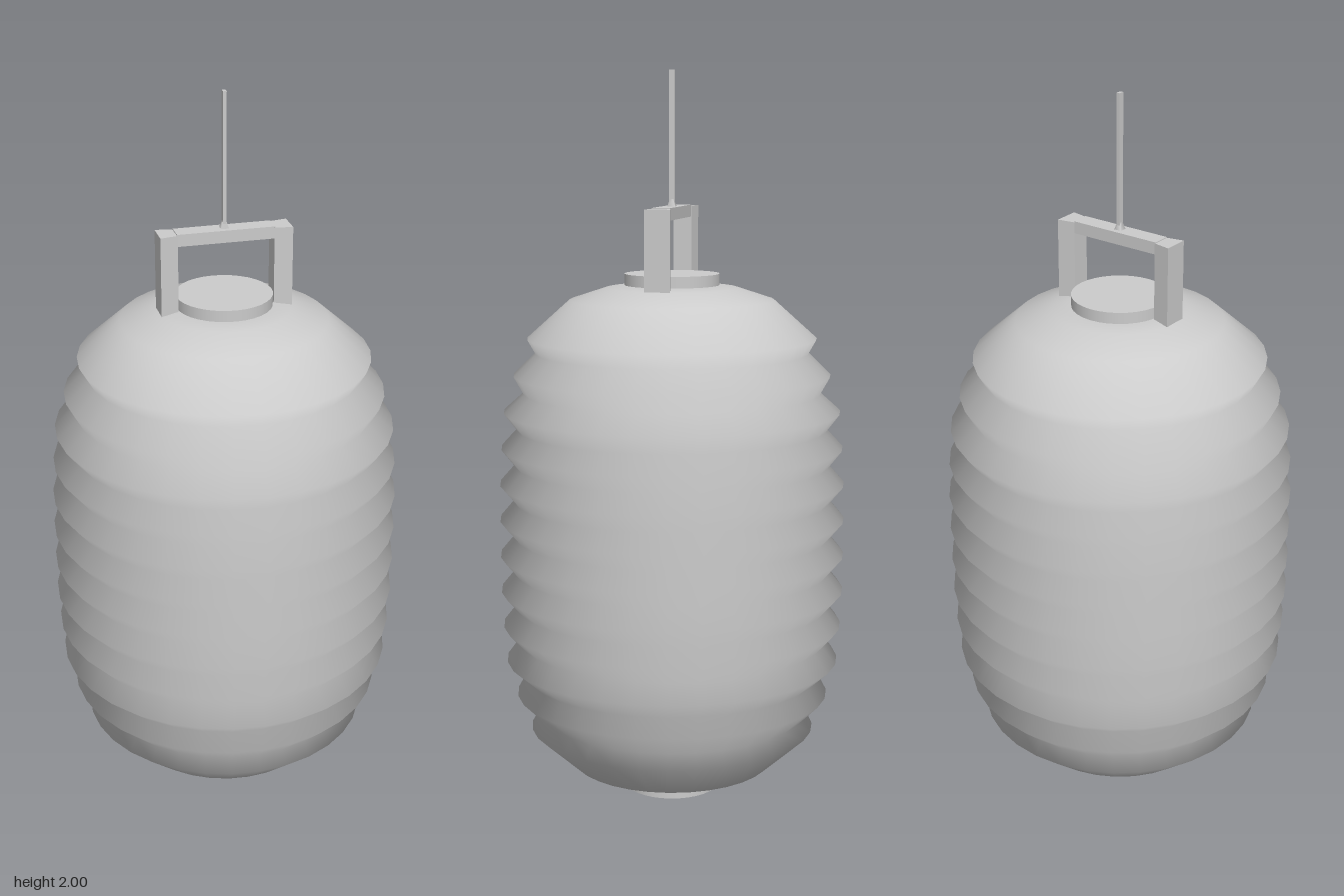
import * as THREE from 'three';

const material = new THREE.MeshStandardMaterial({ color: 0xcccccc });

export function createModel() {
  const model = new THREE.Group();
  const add = (name, geometry, x = 0, y = 0, z = 0) => {
    const mesh = new THREE.Mesh(geometry, material);
    mesh.name = name;
    mesh.position.set(x, y, z);
    model.add(mesh);
    return mesh;
  };

  // Pleated paper body: ridges with a valley between each pair, mirrored about mid height
  const ridges = [0.397, 0.436, 0.464, 0.472, 0.477, 0.478];
  const ridgeRadius = (i) => ridges[Math.min(i, 11 - i)];
  const profile = [[0, 0.035], [0.13, 0.035], [0.18, 0.042], [0.28, 0.075]];
  for (let i = 0; i < 12; i++) {
    const y = 0.18 + i * 0.1;
    profile.push([ridgeRadius(i), y]);
    if (i < 11) {
      const valley = (ridgeRadius(i) + ridgeRadius(i + 1)) / 2 - 0.042;
      // Valleys near the ends sit closer to the end ridge
      const shift = i === 0 ? -0.01 : i === 10 ? 0.01 : 0;
      profile.push([valley, y + 0.05 + shift]);
    }
  }
  profile.push([0.28, 1.385], [0.18, 1.418], [0.13, 1.425], [0, 1.425]);
  add('body', new THREE.LatheGeometry(profile.map(([r, y]) => new THREE.Vector2(r, y)), 32));

  // End caps
  add('topCap', new THREE.CylinderGeometry(0.13, 0.13, 0.04, 32), 0, 1.436);
  add('bottomCap', new THREE.CylinderGeometry(0.13, 0.13, 0.04, 32), 0, 0.02);

  // Handle: two tapered uprights joined by a crossbar
  for (const side of [1, -1]) {
    const section = new THREE.Shape([
      new THREE.Vector2(side * 0.13, -0.026),
      new THREE.Vector2(side * 0.178, -0.035),
      new THREE.Vector2(side * 0.178, 0.035),
      new THREE.Vector2(side * 0.13, 0.026),
    ]);
    const upright = new THREE.ExtrudeGeometry(section, { depth: 0.22, bevelEnabled: false });
    upright.rotateX(-Math.PI / 2);
    add(side > 0 ? 'leftUpright' : 'rightUpright', upright, 0, 1.415);
  }
  add('crossbar', new THREE.BoxGeometry(0.264, 0.033, 0.05), 0, 1.621);

  // Hanging cord with its flared foot
  add('cordFoot', new THREE.CylinderGeometry(0.007, 0.016, 0.022, 4).rotateY(Math.PI / 4), 0, 1.646);
  add('cord', new THREE.BoxGeometry(0.01, 0.35, 0.015), 0, 1.825);

  return model;
}
